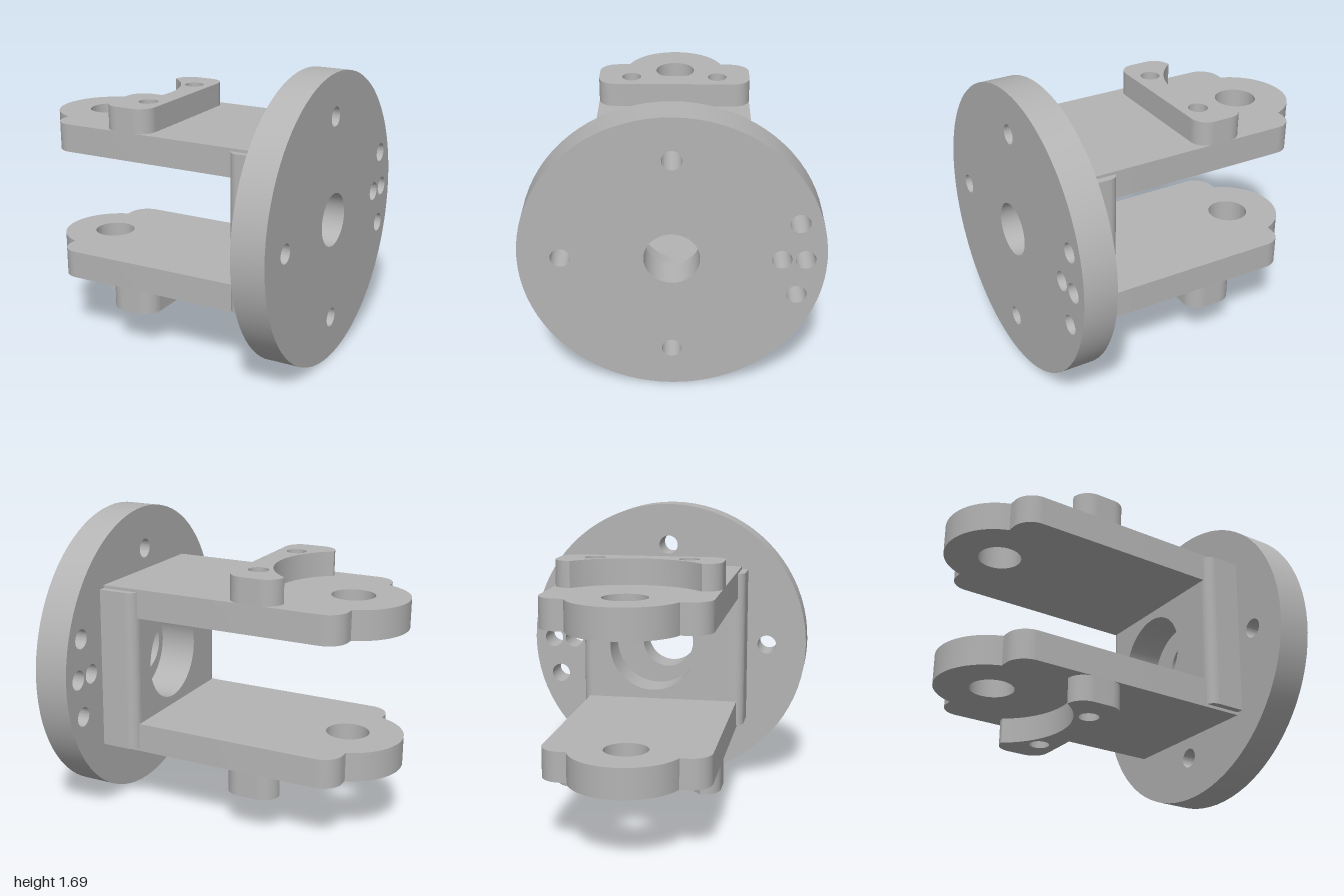
import * as THREE from 'three';
import { toCreasedNormals } from 'three/addons/utils/BufferGeometryUtils.js';

const MID = 0.847; // height of the disc axis
const BACK = 0.368; // rear face of the disc
const PIN_Z = -0.935; // centre of the pivot holes
const PI = Math.PI;

function circle(x, y, r) {
  return new THREE.Path().absarc(x, y, r, 0, PI * 2, false);
}

function extrude(shape, depth) {
  return new THREE.ExtrudeGeometry(shape, { depth, bevelEnabled: false, curveSegments: 40 });
}

// Shape drawn in x and z, raised from y0 to y1
function slab(shape, y0, y1) {
  return extrude(shape, y1 - y0).rotateX(PI / 2).translate(0, y1, 0);
}

// Round disc with bore, four main bolt holes and a small side cluster
function discShape() {
  const s = new THREE.Shape();
  s.absarc(0, 0, MID, 0, PI * 2, false);
  s.holes.push(circle(0, 0, 0.155));
  const bolts = [[0.6, 0], [-0.61, 0], [0, 0.6], [0, -0.6], [0.73, 0], [0.69, 0.226], [0.69, -0.226]];
  for (const [x, y] of bolts) s.holes.push(circle(x, y, 0.056));
  return s;
}

// Clevis arm with rounded shoulders and a pivot lobe
function armShape() {
  const s = new THREE.Shape();
  const a = Math.atan2(-0.1, 0.292);
  s.moveTo(-0.45, BACK);
  s.lineTo(0.45, BACK);
  s.absarc(0.335, -0.92, 0.115, 0, -PI / 2, true);
  s.absarc(0, PIN_Z, 0.309, a, -PI - a, true);
  s.absarc(-0.335, -0.92, 0.115, -PI / 2, -PI, true);
  s.closePath();
  s.holes.push(circle(0, PIN_Z, 0.12));
  return s;
}

// Stop block with a concave edge around the pivot and two blind holes
function blockShape() {
  const s = new THREE.Shape();
  const a = Math.atan2(0.255, 0.35);
  s.moveTo(0.35, -0.68);
  s.absarc(0.35, -0.58, 0.1, -PI / 2, 0, false);
  s.absarc(0.355, -0.475, 0.095, 0, PI / 2, false);
  s.absarc(-0.355, -0.475, 0.095, PI / 2, PI, false);
  s.absarc(-0.35, -0.58, 0.1, PI, PI * 1.5, false);
  s.absarc(0, PIN_Z, 0.433, PI - a, a, true);
  for (const x of [-0.256, 0.256]) s.holes.push(circle(x, -0.489, 0.056));
  return s;
}

// Middle of the base plate with its relief hole
function plateShape() {
  const s = new THREE.Shape();
  s.moveTo(-0.43, -0.46);
  s.lineTo(0.43, -0.46);
  s.lineTo(0.43, 0.46);
  s.lineTo(-0.43, 0.46);
  s.closePath();
  s.holes.push(circle(0.06, 0, 0.26));
  return s;
}

// Rounded side edge of the base plate
function edgeShape(side) {
  const s = new THREE.Shape();
  s.moveTo(side * 0.43, BACK);
  s.lineTo(side * 0.49, BACK);
  s.absarc(side * 0.43, 0.21, 0.06, side > 0 ? 0 : PI, side > 0 ? -PI / 2 : PI * 1.5, side > 0);
  s.closePath();
  return s;
}

export function createModel() {
  const model = new THREE.Group();
  model.name = 'clevisFlange';
  const grey = new THREE.MeshStandardMaterial({ color: 0xb4b4b4 });
  grey.name = 'plain grey';

  const add = (name, geometry) => {
    const mesh = new THREE.Mesh(toCreasedNormals(geometry, 0.5), grey);
    mesh.name = name;
    model.add(mesh);
  };

  add('flangeDisc', extrude(discShape(), 0.198).translate(0, MID, BACK));
  add('basePlate', extrude(plateShape(), BACK - 0.15).translate(0, MID, 0.15));
  add('leftPlateEdge', slab(edgeShape(1), MID - 0.46, MID + 0.46));
  add('rightPlateEdge', slab(edgeShape(-1), MID - 0.46, MID + 0.46));

  // Arms and their stop blocks, mirrored about the disc axis
  add('upperArm', slab(armShape(), MID + 0.312, MID + 0.477));
  add('lowerArm', slab(armShape(), MID - 0.477, MID - 0.312));
  add('upperStopBlock', slab(blockShape(), MID + 0.477, MID + 0.62));
  add('lowerStopBlock', slab(blockShape(), MID - 0.62, MID - 0.477));

  model.rotation.y = PI / 4;
  return model;
}
